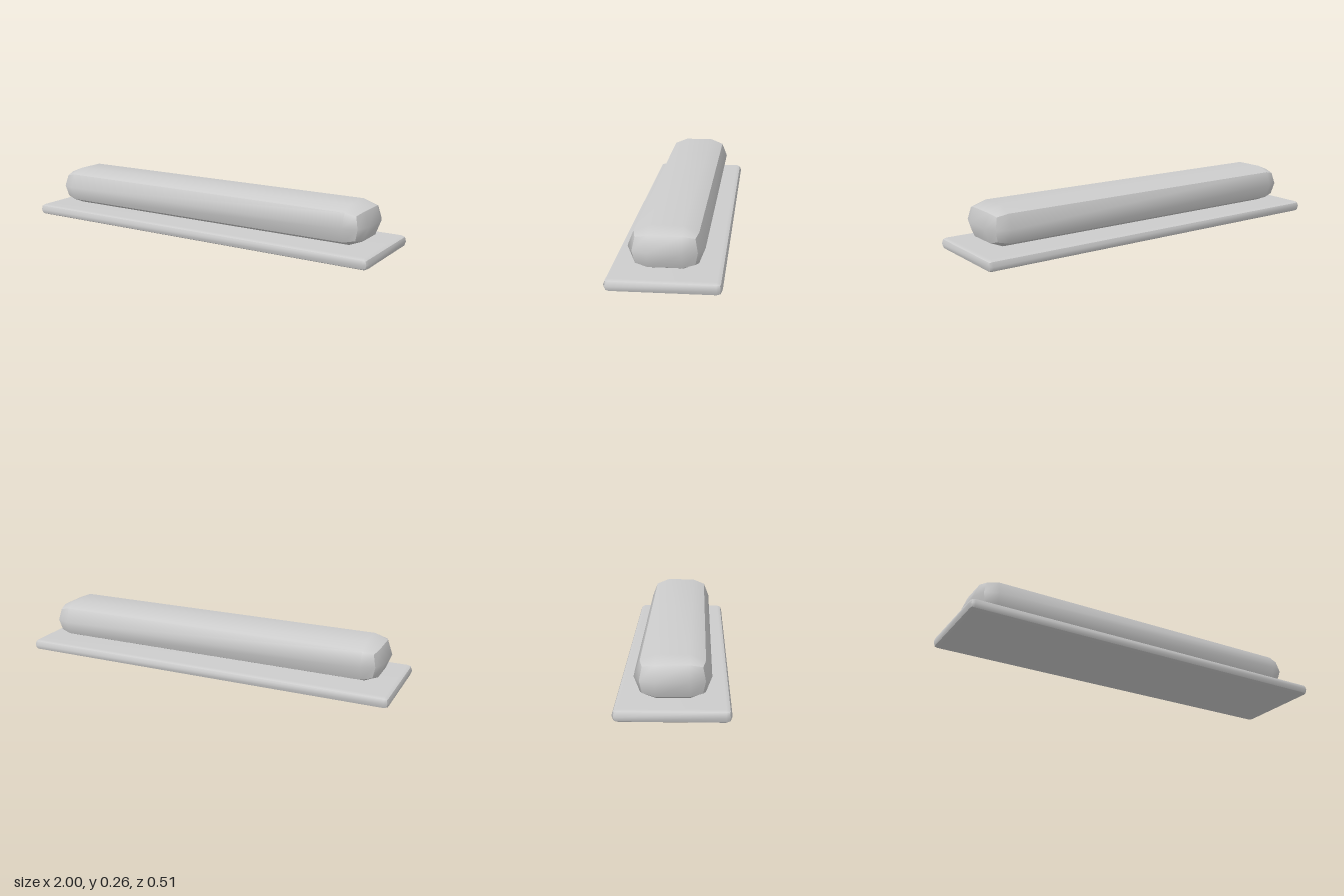
import * as THREE from 'three';

// Pillow-shaped box: a 3 x 2 x 3 segment box whose faces bulge and whose edges and corners pull in.
// Each axis lists half sizes: [inner loop, corner, edge, face centre].
function pillowBox(name, material, axes, centreY) {
  const geometry = new THREE.BoxGeometry(2, 2, 2, 3, 2, 3);
  const position = geometry.attributes.position;
  for (let i = 0; i < position.count; i++) {
    const p = [position.getX(i), position.getY(i), position.getZ(i)];
    const extremes = p.filter((v) => Math.abs(v) > 0.99).length; // 1 face, 2 edge, 3 corner
    const moved = p.map((v, a) => {
      if (Math.abs(v) < 0.01) return 0;
      const size = Math.abs(v) > 0.99 ? axes[a][4 - extremes] : axes[a][0];
      return Math.sign(v) * size;
    });
    position.setXYZ(i, ...moved);
  }
  // Smooth within each of the six sides, sharp between them
  geometry.computeVertexNormals();
  const mesh = new THREE.Mesh(geometry, material);
  mesh.name = name;
  mesh.position.y = centreY;
  return mesh;
}

export function createModel() {
  const model = new THREE.Group();
  model.name = 'cushionOnBase';
  const grey = new THREE.MeshStandardMaterial({ color: 0xcccccc });
  grey.name = 'lightGrey';

  // Thin base slab
  model.add(pillowBox('baseSlab', grey, [
    [0.975, 0.988, 0.992, 1.0],
    [0, 0.0185, 0.0215, 0.029],
    [0.231, 0.246, 0.249, 0.257],
  ], 0.029));

  // Long rounded bolster resting on the slab
  model.add(pillowBox('bolster', grey, [
    [0.832, 0.886, 0.9, 0.927],
    [0, 0.0595, 0.0715, 0.0993],
    [0.076, 0.132, 0.144, 0.172],
  ], 0.1585));

  return model;
}
